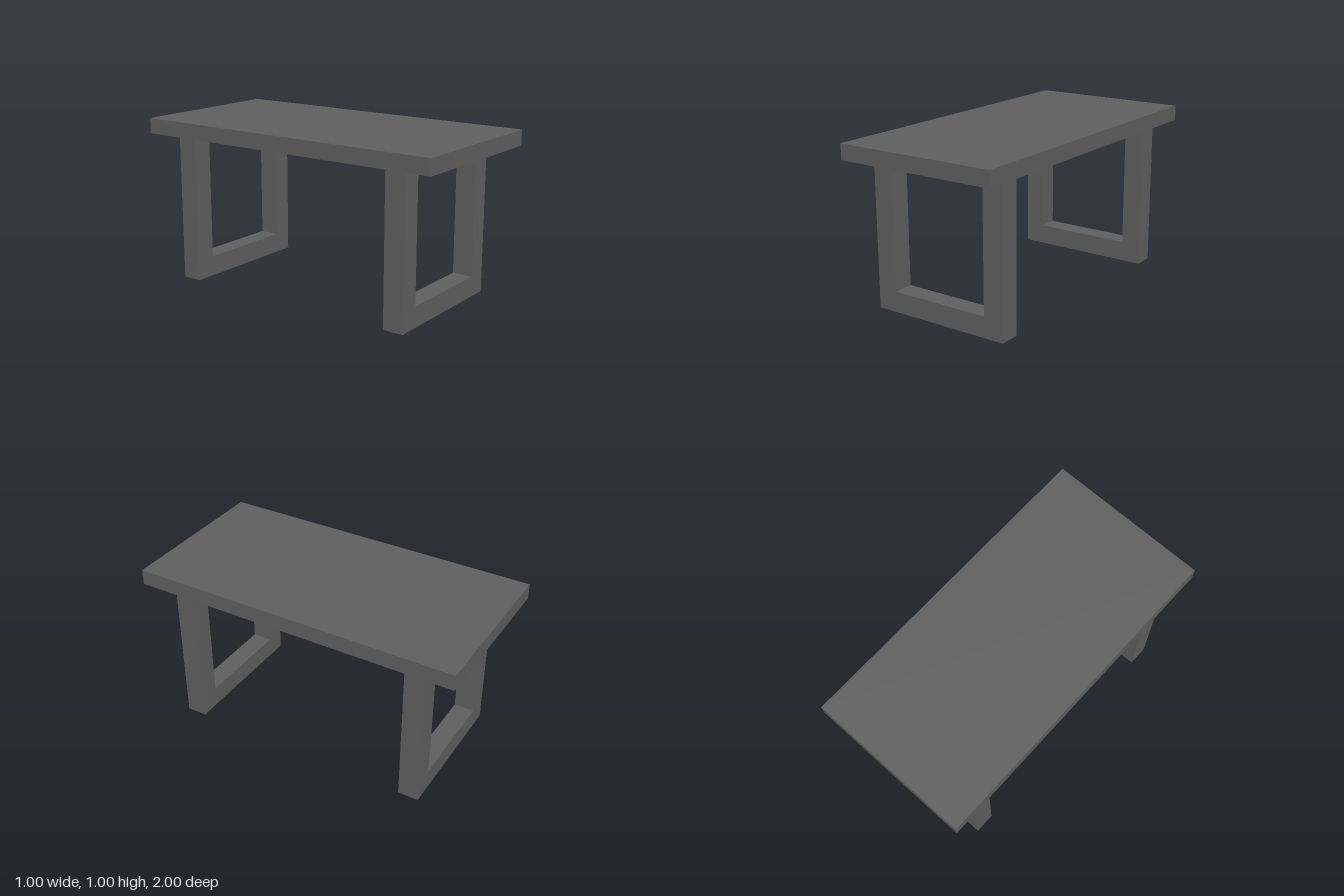
import * as THREE from 'three';

const TOP_Y = 0.906;

export function createModel() {
  const group = new THREE.Group();
  const darkGrey = new THREE.MeshStandardMaterial({ color: 0x5e5e5e });
  darkGrey.name = 'darkGrey';

  // Flat slab table top
  const tableTop = new THREE.Mesh(new THREE.BoxGeometry(1, 1 - TOP_Y, 2), darkGrey);
  tableTop.name = 'tableTop';
  tableTop.position.y = (1 + TOP_Y) / 2;
  group.add(tableTop);

  // U-shaped leg frame: two posts joined by a floor bar
  const outer = 0.4375, inner = 0.3125, bar = 0.125, depth = 0.125;
  const outline = new THREE.Shape([
    [-outer, 0], [outer, 0], [outer, TOP_Y], [inner, TOP_Y],
    [inner, bar], [-inner, bar], [-inner, TOP_Y], [-outer, TOP_Y],
  ].map(([x, y]) => new THREE.Vector2(x, y)));
  const frame = new THREE.ExtrudeGeometry(outline, { depth, bevelEnabled: false });
  frame.translate(0, 0, -depth / 2);

  for (const [name, z] of [['frontLegFrame', 0.75], ['backLegFrame', -0.75]]) {
    const leg = new THREE.Mesh(frame, darkGrey);
    leg.name = name;
    leg.position.z = z;
    group.add(leg);
  }

  return group;
}
